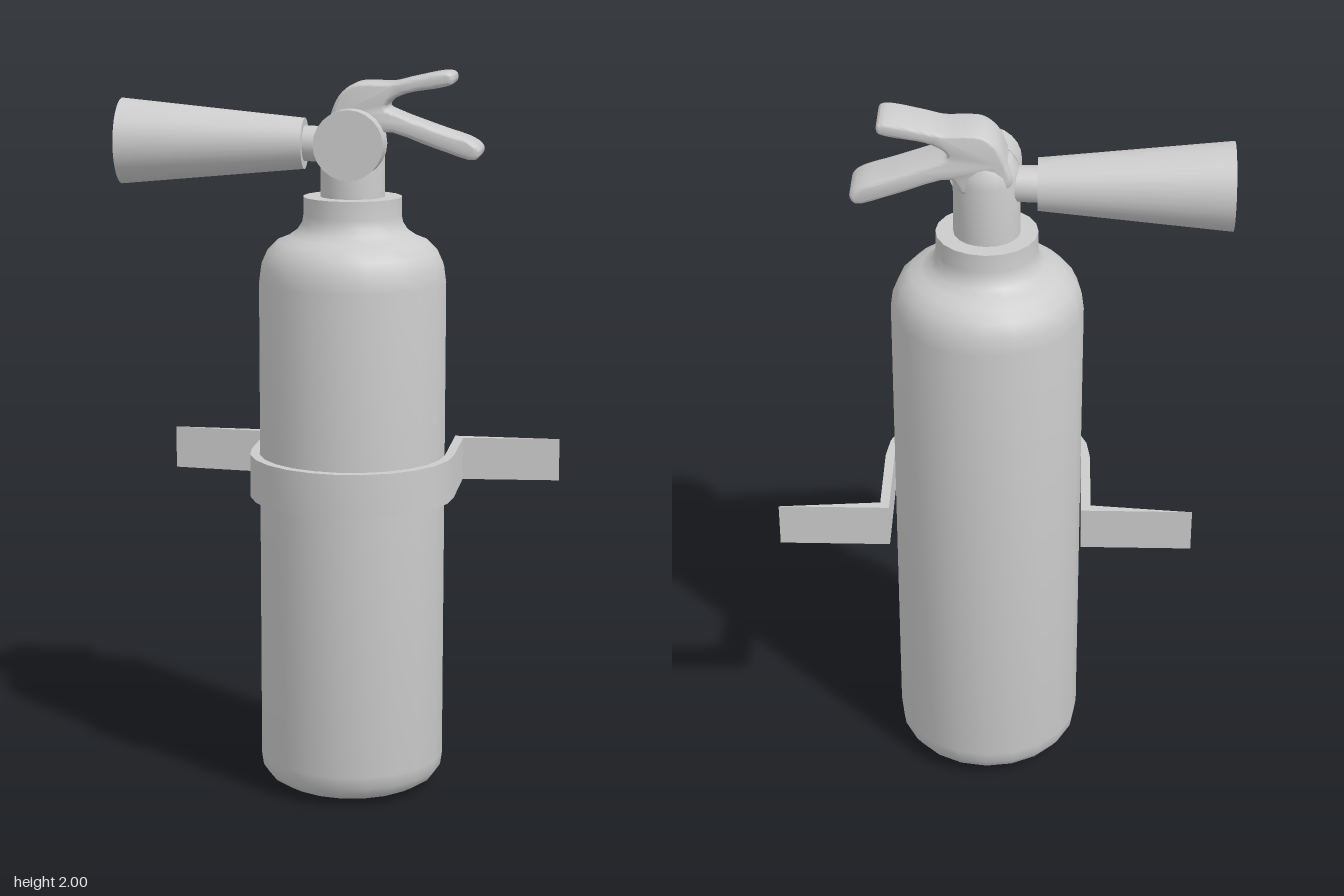
import * as THREE from 'three';
import { toCreasedNormals } from 'three/addons/utils/BufferGeometryUtils.js';

const CX = 0.037, CZ = -0.015; // axis of the bottle

export function createModel() {
  const model = new THREE.Group();
  model.name = 'fireExtinguisher';
  const material = new THREE.MeshStandardMaterial({ color: 0xcccccc });

  const add = (name, geometry, x, y, z, crease = 0.6) => {
    const mesh = new THREE.Mesh(toCreasedNormals(geometry, crease), material);
    mesh.name = name;
    mesh.position.set(x, y, z);
    model.add(mesh);
    return mesh;
  };
  const lathe = (points, sides) =>
    new THREE.LatheGeometry(points.map(([r, y]) => new THREE.Vector2(r, y)), sides);

  // Bottle with rounded base, domed shoulder and flared collar
  add('bottle', lathe([
    [0, 0], [0.15, 0], [0.2, 0.01], [0.235, 0.03], [0.252, 0.055], [0.257, 0.09],
    [0.257, 1.43], [0.251, 1.475], [0.235, 1.51], [0.205, 1.54], [0.175, 1.552],
    [0.152, 1.568], [0.139, 1.588], [0.135, 1.61], [0.135, 1.66], [0, 1.66],
  ], 20), CX, 0, CZ);

  // Valve neck, rounded where it runs into the handle
  add('valveNeck', lathe([
    [0, 1.64], [0.088, 1.64], [0.088, 1.82], [0.083, 1.85], [0.068, 1.875], [0, 1.89],
  ], 20), CX, 0, CZ);

  // Pressure gauge on the front of the neck
  add('gauge', new THREE.CylinderGeometry(0.094, 0.094, 0.09, 24).rotateX(Math.PI / 2),
    0.042, 1.808, 0.064);

  // Hollow discharge horn pointing sideways, and its connector
  add('horn', lathe([
    [0, 0], [0.069, 0], [0.117, 0.505], [0.106, 0.505], [0.055, 0.03], [0, 0.03],
  ], 32).rotateZ(Math.PI / 2), -0.095, 1.8, -0.019);
  add('hornConnector', new THREE.CylinderGeometry(0.048, 0.048, 0.1, 16).rotateZ(Math.PI / 2),
    -0.055, 1.8, -0.017);

  // Forked handle: squeeze lever above, carrying grip below
  const outline = [
    [-0.03, 1.83], [-0.015, 1.885], [0.008, 1.935], [0.045, 1.965], [0.09, 1.97], [0.145, 1.969],
    [0.2, 1.982], [0.295, 1.999], [0.313, 1.992], [0.313, 1.97], [0.29, 1.96], [0.19, 1.942],
    [0.145, 1.92], [0.135, 1.904], [0.165, 1.888], [0.27, 1.85], [0.372, 1.813], [0.389, 1.79],
    [0.374, 1.768], [0.27, 1.796], [0.125, 1.838], [0.1, 1.8], [0.02, 1.79],
  ].map(([x, y]) => new THREE.Vector3(x, y, 0));
  const curve = new THREE.CatmullRomCurve3(outline, true);
  const handleShape = new THREE.Shape(curve.getPoints(92).slice(0, -1).map(p => new THREE.Vector2(p.x, p.y)));
  add('handle', new THREE.ExtrudeGeometry(handleShape, {
    depth: 0.105, bevelThickness: 0.015, bevelSize: 0.01, bevelOffset: -0.01, bevelSegments: 3,
  }), 0, 0, -0.07, 0.8);

  // Wall bracket: half ring round the front, straight sides, tapering wings
  const arc = (r, from, to) => Array.from({ length: 13 }, (_, i) => {
    const a = from + (to - from) * i / 12;
    return new THREE.Vector2(r * Math.cos(a), r * Math.sin(a));
  });
  const v = (x, y) => new THREE.Vector2(x, y);
  const bracketShape = new THREE.Shape([
    v(-0.555, 0.255), v(-0.283, 0.23),
    ...arc(0.283, Math.PI, 2 * Math.PI),
    v(0.283, 0.23), v(0.555, 0.255), v(0.258, 0.255),
    ...arc(0.258, 2 * Math.PI, Math.PI),
    v(-0.258, 0.255),
  ]);
  add('wallBracket', new THREE.ExtrudeGeometry(bracketShape, { depth: 0.12, bevelEnabled: false })
    .rotateX(-Math.PI / 2), CX, 0.83, CZ);

  return model;
}
